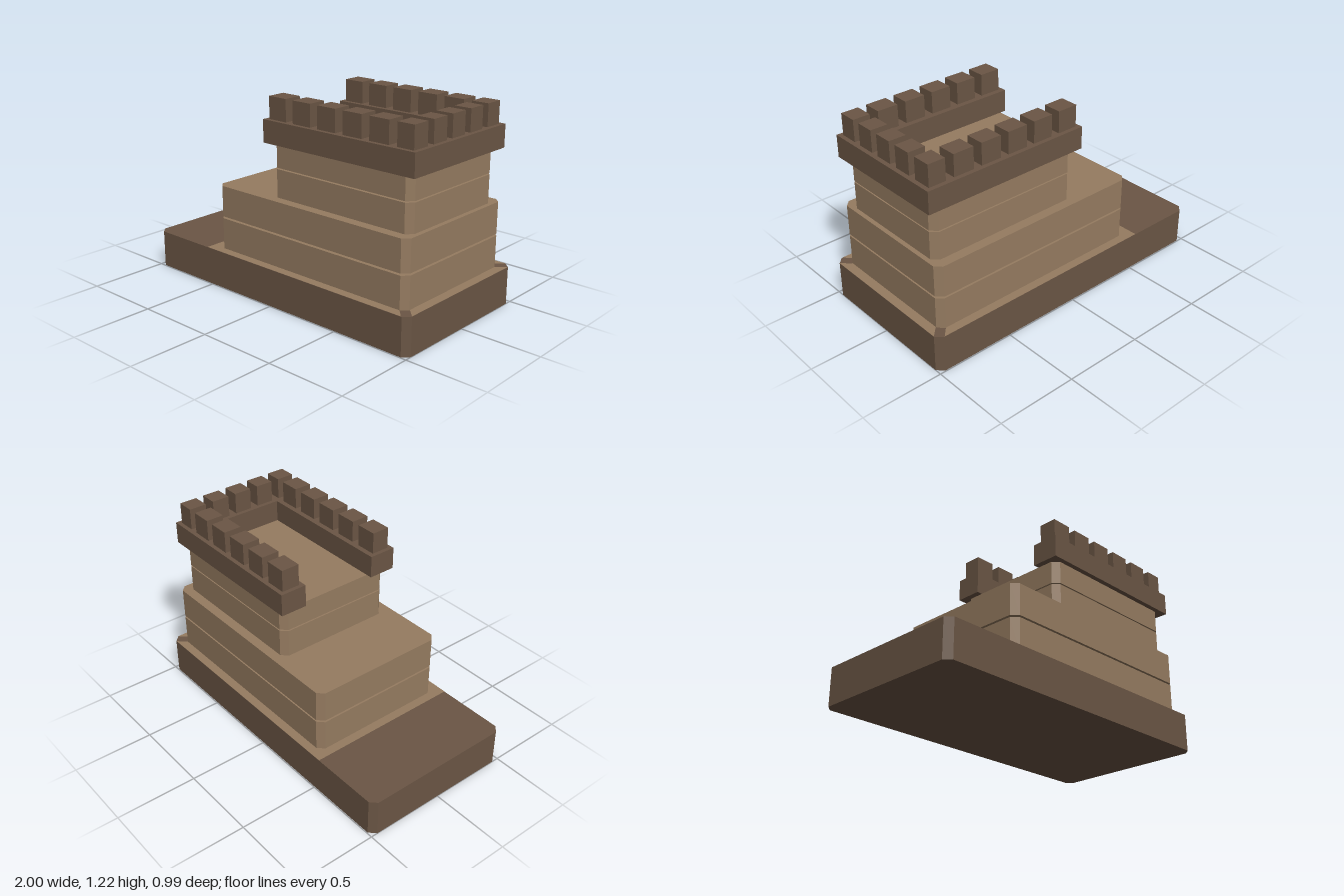
import * as THREE from 'three';

const darkStone = new THREE.MeshStandardMaterial({ color: 0x6b5645 });
darkStone.name = 'dark stone';
const lightStone = new THREE.MeshStandardMaterial({ color: 0x967c61 });
lightStone.name = 'light stone';

// Plan outlines use [x, z]; the shape's y axis is -z so it can be laid flat.
const planShape = (points) => new THREE.Shape(points.map(([x, z]) => new THREE.Vector2(x, -z)));

// Rectangle in plan with cut corners.
function cutCorners(x0, x1, z, c) {
  return [
    [x0 + c, z], [x1 - c, z], [x1, z - c], [x1, c - z],
    [x1 - c, -z], [x0 + c, -z], [x0, c - z], [x0, z - c],
  ];
}

// Upright block rising from y0 to y1 over a plan outline.
function block(name, points, y0, y1, material) {
  const geometry = new THREE.ExtrudeGeometry(planShape(points), { depth: y1 - y0, bevelEnabled: false });
  geometry.rotateX(-Math.PI / 2);
  geometry.translate(0, y0, 0);
  const mesh = new THREE.Mesh(geometry, material);
  mesh.name = name;
  return mesh;
}

// Two stone courses separated by a recessed joint.
function tier(name, x0, x1, z, y0, y1, j0, j1, inset) {
  const group = new THREE.Group();
  group.name = name;
  const outer = cutCorners(x0, x1, z, 0.037);
  const inner = cutCorners(x0 + inset, x1 - inset, z - inset, 0.03);
  group.add(
    block('lowerCourse', outer, y0, j0, lightStone),
    block('joint', inner, j0, j1, lightStone),
    block('upperCourse', outer, j1, y1, lightStone),
  );
  return group;
}

export function createModel() {
  const model = new THREE.Group();
  model.name = 'castleTower';

  // Base slab with a pale terrace on its top
  model.add(block('base', cutCorners(-1, 1, 0.495, 0.038), 0, 0.23, darkStone));
  const terrace = new THREE.Mesh(new THREE.ShapeGeometry(planShape([
    [-0.54, 0.495], [0.957, 0.495], [0.905, 0.44], [0.945, 0.402], [1, 0.457],
    [1, -0.457], [0.945, -0.402], [0.905, -0.44], [0.957, -0.495], [-0.54, -0.495],
  ])), lightStone);
  terrace.name = 'terrace';
  terrace.geometry.rotateX(-Math.PI / 2);
  terrace.position.y = 0.232;
  model.add(terrace);

  // Stepped walls
  model.add(tier('lowerWall', -0.485, 0.943, 0.441, 0.23, 0.63, 0.426, 0.438, 0.026));
  model.add(tier('upperWall', -0.08, 0.915, 0.38, 0.63, 0.95, 0.801, 0.809, 0.022));

  // U-shaped parapet, open toward the low end
  model.add(block('parapet', [
    [-0.117, 0.412], [0.958, 0.412], [0.958, -0.412], [-0.117, -0.412],
    [-0.117, -0.245], [0.797, -0.245], [0.797, 0.24], [-0.117, 0.24],
  ], 0.95, 1.087, darkStone));

  // Merlons along the two sides and across the closed end
  const merlons = new THREE.Group();
  merlons.name = 'merlons';
  function merlon(x, z, width) {
    const mesh = new THREE.Mesh(new THREE.BoxGeometry(width, 0.135, 0.113), darkStone);
    mesh.name = 'merlon';
    mesh.position.set(x, 1.1525, z);
    merlons.add(mesh);
  }
  for (const side of [-1, 1]) {
    for (let i = 0; i < 5; i++) merlon(-0.027 + i * 0.183, side * 0.329, 0.13);
  }
  for (let i = -2; i <= 2; i++) merlon(0.877, i * 0.1645, 0.108);
  model.add(merlons);

  return model;
}
